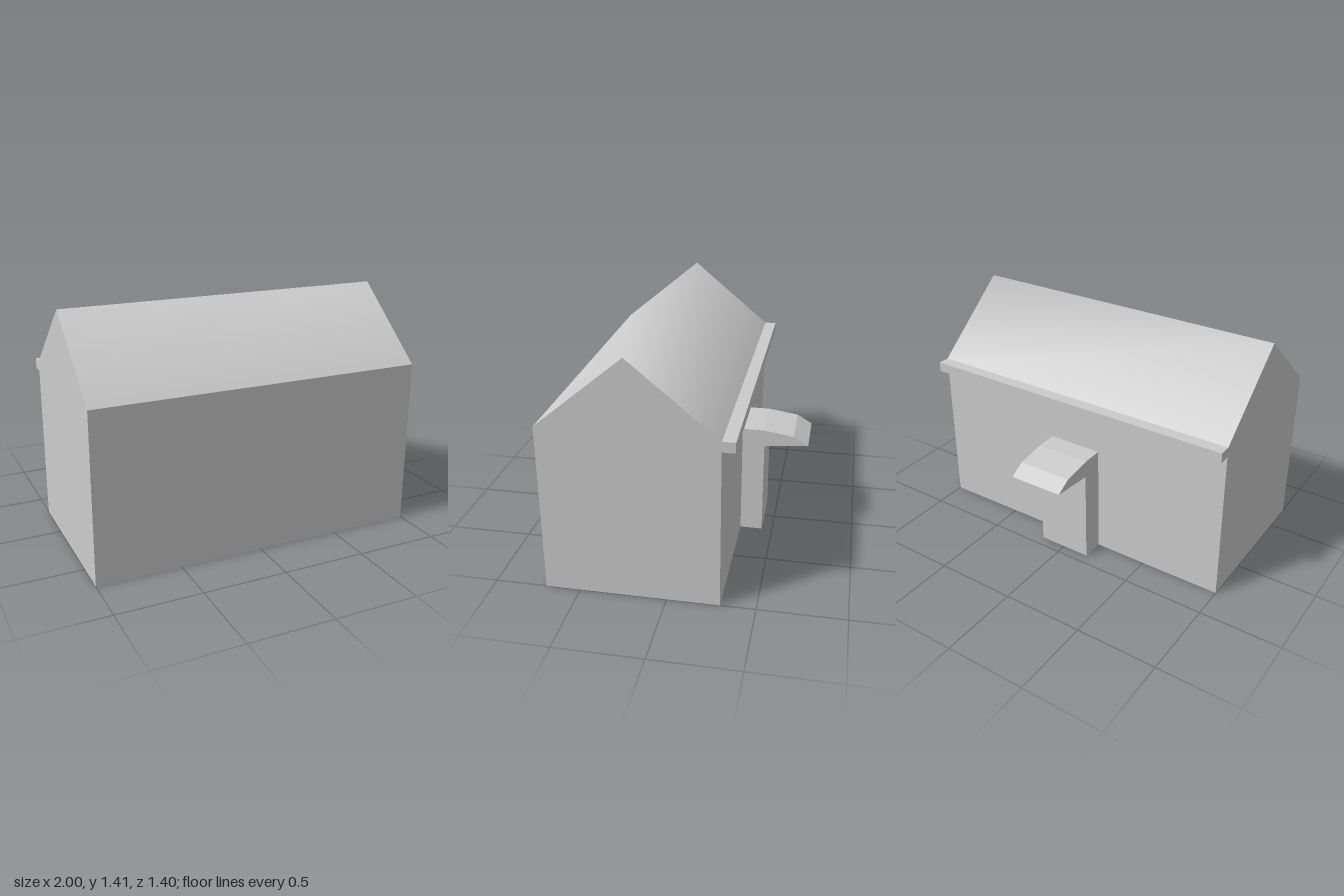
import * as THREE from 'three';

const HALF = 1;          // half the length of the house
const FRONT = 0.7, BACK = -0.3, EAVE = 1, RIDGE_Z = 0.2, RIDGE_Y = 1.415;

const material = new THREE.MeshStandardMaterial({ color: 0xcccccc });

function addMesh(group, name, geometry) {
  const mesh = new THREE.Mesh(geometry, material);
  mesh.name = name;
  group.add(mesh);
  return mesh;
}

// Surface swept along x from a [z, y] path; normals are smooth along the path
function strip(path) {
  const positions = [], indices = [];
  path.forEach(([z, y], i) => {
    positions.push(-HALF, y, z, HALF, y, z);
    if (i < path.length - 1) {
      const a = 2 * i;
      indices.push(a, a + 1, a + 3, a, a + 3, a + 2);
    }
  });
  const geometry = new THREE.BufferGeometry();
  geometry.setAttribute('position', new THREE.Float32BufferAttribute(positions, 3));
  geometry.setIndex(indices);
  geometry.computeVertexNormals();
  return geometry;
}

// Shape from [z, y] points, with z mirrored when sign is -1
function sideShape(points, sign) {
  return new THREE.Shape(points.map(([z, y]) => new THREE.Vector2(sign * z, y)));
}

// Solid with a [z, y] profile, running from x0 to x1
function sideExtrude(points, x0, x1) {
  return new THREE.ExtrudeGeometry(sideShape(points, -1), { depth: x1 - x0, bevelEnabled: false })
    .rotateY(Math.PI / 2)
    .translate(x0, 0, 0);
}

export function createModel() {
  const house = new THREE.Group();
  house.name = 'house';

  // Walls and floor
  addMesh(house, 'frontWall', strip([[FRONT, 0], [FRONT, EAVE]]));
  addMesh(house, 'backWall', strip([[BACK, EAVE], [BACK, 0]]));
  addMesh(house, 'floor', strip([[BACK, 0], [FRONT, 0]]));

  // Gable ends
  const gable = [[FRONT, 0], [FRONT, EAVE], [RIDGE_Z, RIDGE_Y], [BACK, EAVE], [BACK, 0]];
  for (const side of [1, -1]) {
    const geometry = new THREE.ShapeGeometry(sideShape(gable, -side))
      .rotateY(side * Math.PI / 2)
      .translate(side * HALF, 0, 0);
    addMesh(house, side > 0 ? 'leftGable' : 'rightGable', geometry);
  }

  // Roof, shaded smoothly over the ridge
  addMesh(house, 'roof', strip([[FRONT, EAVE], [RIDGE_Z, RIDGE_Y], [BACK, EAVE]]));

  // Gutter along the back eave
  addMesh(house, 'gutter', new THREE.BoxGeometry(2 * HALF, 0.06, 0.073))
    .position.set(0, 0.97, BACK - 0.0365);

  // Back door block with its sloping canopy
  const porch = [
    [BACK, 0], [BACK, 0.69], [-0.43, 0.69], [-0.61, 0.663],
    [-0.7, 0.61], [-0.435, 0.586], [-0.435, 0],
  ];
  addMesh(house, 'doorwayWithCanopy', sideExtrude(porch, -0.17, 0.166));

  return house;
}
